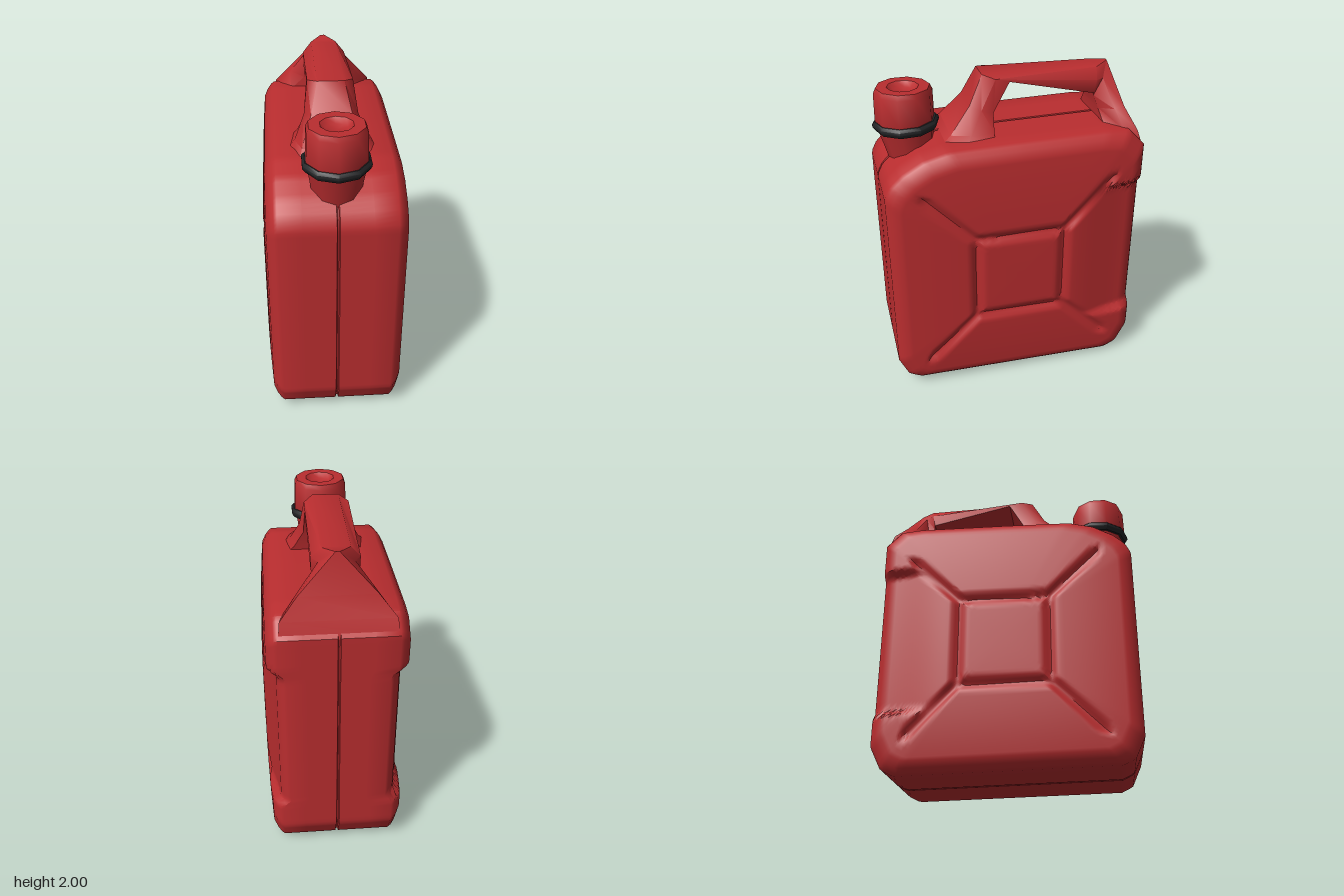
import * as THREE from 'three';
import { toCreasedNormals } from 'three/addons/utils/BufferGeometryUtils.js';

const red = new THREE.MeshStandardMaterial({ color: 0xb92d2f });
red.name = 'red plastic';
const black = new THREE.MeshStandardMaterial({ color: 0x232426 });
black.name = 'black rubber';

// Skin a list of closed rings, each an array of [x, y, z]
function loft(rings, crease) {
  const n = rings[0].length, index = [];
  for (let i = 0; i < rings.length - 1; i++) {
    for (let j = 0; j < n; j++) {
      const a = i * n + j, b = i * n + (j + 1) % n, c = a + n, d = b + n;
      index.push(a, b, c, b, d, c);
    }
  }
  const geo = new THREE.BufferGeometry();
  geo.setAttribute('position', new THREE.Float32BufferAttribute(rings.flat(2), 3));
  geo.setIndex(index);
  return toCreasedNormals(geo, crease);
}

// Pressed frame around the centre square, with four diagonal arms
function grooveDepth(z, y) {
  const az = Math.abs(z), ay = Math.abs(y), m = Math.max(az, ay);
  const square = Math.abs(m - 0.28);
  const past = Math.max(0, 0.28 - m, m - 0.58);
  const arm = Math.hypot((az - ay) / Math.SQRT2, past);
  const t = Math.max(0, 1 - Math.min(square, arm) / 0.05);
  return 0.028 * t * t * (3 - 2 * t);
}

// Shallow narrowing of the rear panel between the upper and lower bumpers
function rearNarrowing(z, y) {
  const { smoothstep } = THREE.MathUtils;
  return 1 - 0.13 * smoothstep(-z, 0.3, 0.75)
    * smoothstep(0.5 - Math.abs(y - 0.045), 0, 0.05)
    * smoothstep(-z - Math.abs(y), 0, 0.06);
}

function bodyGeometry() {
  // Side outline as (z, y), running front, top, back, bottom
  const outline = new THREE.Shape([
    [0.8, 0.19], [0.8, 1.4], [0.765, 1.47], [0.69, 1.54], [0.57, 1.61], [0.42, 1.65],
    [0, 1.662], [-0.57, 1.672], [-0.7, 1.66], [-0.8, 1.56], [-0.8, 0.18], [-0.73, 0.04],
    [-0.65, 0], [0.67, 0.025], [0.74, 0.06], [0.8, 0.19],
  ].map(([z, y]) => new THREE.Vector2(z, y))).getSpacedPoints(220).slice(0, 220);

  // Rows as [scale of outline, half width], from side centre to seam
  const rows = [];
  for (let i = 0; i <= 36; i++) {
    const s = 0.91 * i / 36;
    rows.push([s, 0.43 - 0.04 * s ** 3]);
  }
  rows.push([0.955, 0.378], [0.985, 0.355], [1, 0.335], [1, 0.2], [1, 0.009], [0.985, 0.004]);

  const ring = ([s, w], sign) => outline.map((p) => {
    const z = p.x * s, dy = (p.y - 0.8) * s;
    const groove = s < 0.9 ? grooveDepth(z, dy) : 0;
    return [sign * (w * rearNarrowing(z, dy) - groove), dy + 0.8, z];
  });
  return loft([
    ...rows.map((r) => ring(r, 1)),
    ...rows.slice().reverse().map((r) => ring(r, -1)),
  ], 0.7);
}

function handleGeometry() {
  // outer z, y, half width; middle half width; inner z, y, half width
  const sections = [
    [0.5, 1.58, 0.22, 0.3, 0.12, 1.62, 0.26],
    [0.37, 1.68, 0.18, 0.22, 0.11, 1.68, 0.2],
    [0.24, 1.83, 0.12, 0.16, 0.1, 1.78, 0.14],
    [0.155, 2, 0.08, 0.135, 0, 1.96, 0.135],
    [-0.56, 1.985, 0.08, 0.135, -0.53, 1.84, 0.135],
    [-0.65, 2, 0.012, 0.1, -0.535, 1.82, 0.12],
    [-0.7, 1.77, 0.22, 0.22, -0.565, 1.74, 0.13],
    [-0.755, 1.65, 0.32, 0.3, -0.58, 1.65, 0.22],
    [-0.79, 1.55, 0.33, 0.32, -0.58, 1.6, 0.28],
  ];
  return loft(sections.map(([oz, oy, ow, mw, iz, iy, iw]) => {
    const mz = oz + (iz - oz) * 0.45, my = oy + (iy - oy) * 0.45;
    return [[ow, oy, oz], [mw, my, mz], [iw, iy, iz], [-iw, iy, iz], [-mw, my, mz], [-ow, oy, oz]];
  }), 0.9);
}

export function createModel() {
  const group = new THREE.Group();
  const add = (name, geometry, material, x = 0, y = 0, z = 0) => {
    const mesh = new THREE.Mesh(geometry, material);
    mesh.name = name;
    mesh.position.set(x, y, z);
    group.add(mesh);
    return mesh;
  };

  add('body', bodyGeometry(), red);
  add('handle', handleGeometry(), red);

  // Spout, leaning slightly forward
  const neck = add('neck', new THREE.CylinderGeometry(0.175, 0.13, 0.3, 10, 1, true), red, 0, 1.59, 0.59);
  neck.rotation.x = 0.12;

  // Sealing ring
  const collar = new THREE.LatheGeometry([
    [0.15, -0.025], [0.185, -0.028], [0.2, -0.005], [0.2, 0.012], [0.185, 0.028], [0.15, 0.028],
  ].map(([r, y]) => new THREE.Vector2(r, y)), 10);
  add('collar', toCreasedNormals(collar, 0.8), black, 0, 1.72, 0.605).rotation.x = 0.04;

  // Screw cap with a dished top
  const cap = new THREE.LatheGeometry([
    [0.001, -0.03], [0.17, -0.03], [0.178, 0], [0.174, 0.165], [0.16, 0.195], [0.095, 0.195],
    [0.065, 0.165], [0.001, 0.16],
  ].map(([r, y]) => new THREE.Vector2(r, y)), 10);
  add('cap', toCreasedNormals(cap, 0.8), red, 0, 1.75, 0.61);

  return group;
}
